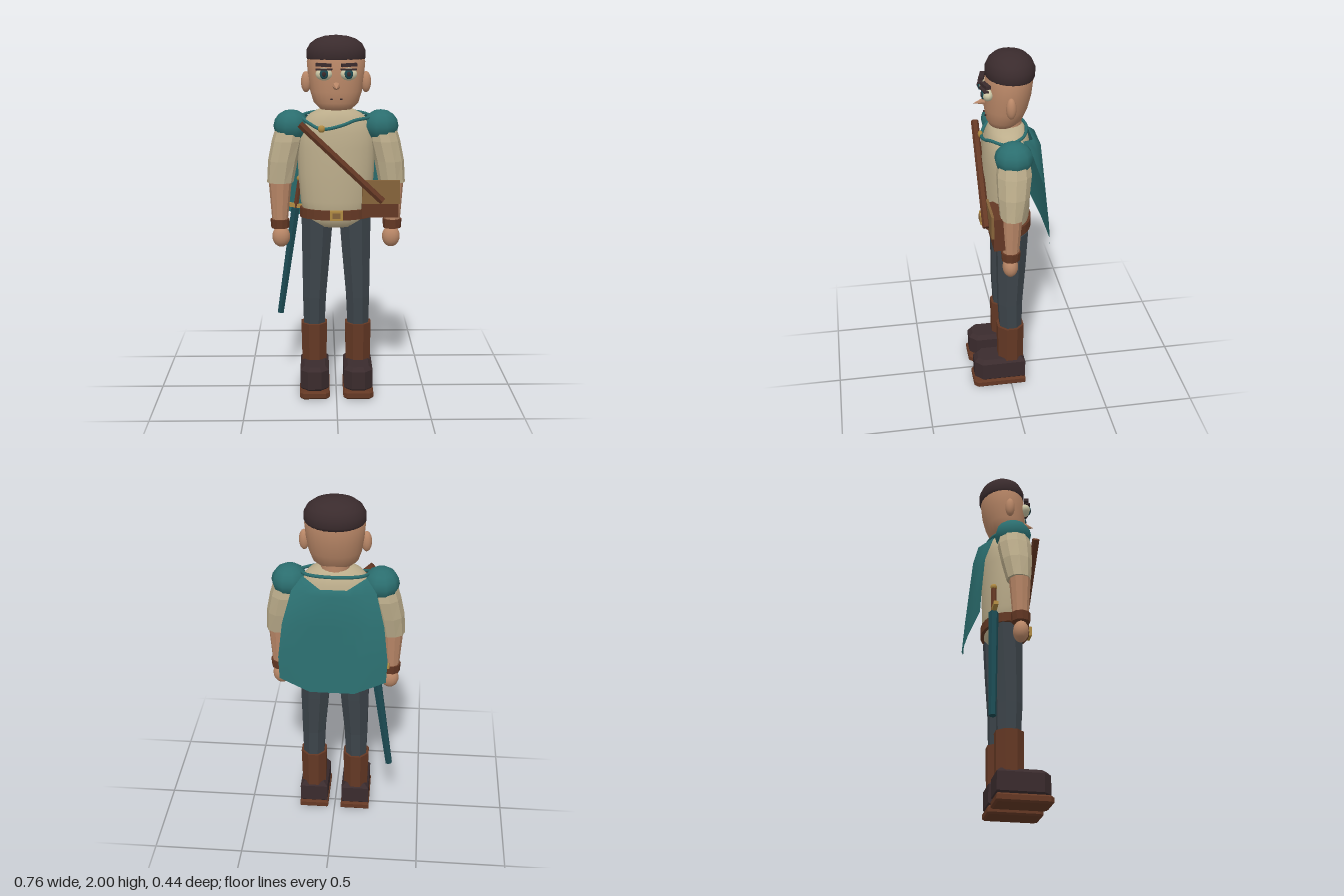
import * as THREE from 'three';

const paint = (name, color) => Object.assign(new THREE.MeshStandardMaterial({ color }), { name });
const M = {
  skin: paint('skin', 0xb98767),
  shirt: paint('linen', 0xbdae8c),
  teal: paint('teal cloth', 0x2b6e6f),
  dark: paint('dark brown', 0x3a2b2d),
  slate: paint('slate trousers', 0x3c444a),
  leather: paint('leather', 0x643824),
  gold: paint('brass', 0xb08a42),
  tan: paint('tan leather', 0x86633a),
  white: paint('eye white', 0xcfcaa8),
  sheath: paint('deep teal', 0x1b4a52),
};
const cloth = M.teal;
cloth.side = THREE.DoubleSide;

const flat = (g) => {
  const f = g.index ? g.toNonIndexed() : g;
  f.computeVertexNormals();
  return f;
};

// Skin a stack of elliptical rings [y, rx, rz, cx, cz], bottom to top
function loft(rings, seg, faceted = false) {
  const pos = [], idx = [], n = rings.length;
  for (const [y, rx, rz, cx = 0, cz = 0] of rings) {
    for (let j = 0; j < seg; j++) {
      const a = ((j + 0.5) / seg) * Math.PI * 2;
      pos.push(cx + rx * Math.sin(a), y, cz + rz * Math.cos(a));
    }
  }
  for (const [y, , , cx = 0, cz = 0] of [rings[0], rings[n - 1]]) pos.push(cx, y, cz);
  for (let j = 0; j < seg; j++) {
    const k = (j + 1) % seg, top = (n - 1) * seg;
    for (let i = 0; i < n - 1; i++) {
      const a = i * seg + j, b = i * seg + k;
      idx.push(a, b, b + seg, a, b + seg, a + seg);
    }
    idx.push(n * seg, k, j, n * seg + 1, top + j, top + k);
  }
  const g = new THREE.BufferGeometry();
  g.setAttribute('position', new THREE.Float32BufferAttribute(pos, 3));
  g.setIndex(idx);
  if (faceted) return flat(g);
  g.computeVertexNormals();
  return g;
}

// Chamfered slab in plan with bevelled edges, from y0 to y1
function slab(w, z0, z1, y0, y1, cut, bevel) {
  const x = w / 2 - bevel, a = -z1 + bevel, b = -z0 - bevel;
  const s = new THREE.Shape([
    [-x + cut, a], [x - cut, a], [x, a + cut], [x, b], [-x, b], [-x, a + cut],
  ].map((p) => new THREE.Vector2(...p)));
  const g = new THREE.ExtrudeGeometry(s, {
    depth: y1 - y0 - 2 * bevel, bevelSize: bevel, bevelThickness: bevel, bevelSegments: 1,
  });
  return g.rotateX(-Math.PI / 2).translate(0, y0 + bevel, 0);
}

export function createModel() {
  const model = new THREE.Group();
  const add = (name, geo, mat, x = 0, y = 0, z = 0) => {
    const m = new THREE.Mesh(geo, mat);
    m.name = name;
    m.position.set(x, y, z);
    model.add(m);
    return m;
  };
  const ball = (name, mat, x, y, z, rx, ry, rz, ws = 16, hs = 12) =>
    add(name, new THREE.SphereGeometry(1, ws, hs).scale(rx, ry, rz), mat, x, y, z);
  const box = (name, mat, x, y, z, w, h, d) => add(name, new THREE.BoxGeometry(w, h, d), mat, x, y, z);
  // Faceted rod between two points
  const rod = (name, mat, a, b, ra, rb, seg) => {
    const p = new THREE.Vector3(...a), q = new THREE.Vector3(...b), d = q.clone().sub(p);
    const m = add(name, flat(new THREE.CylinderGeometry(rb, ra, d.length(), seg)), mat);
    m.position.copy(p).add(q).multiplyScalar(0.5);
    m.quaternion.setFromUnitVectors(new THREE.Vector3(0, 1, 0), d.normalize());
    return m;
  };

  // Torso, neck and head
  add('shirt', loft([
    [0.945, 0.05, 0.04], [0.955, 0.12, 0.08], [1.0, 0.175, 0.115], [1.1, 0.198, 0.125], [1.25, 0.21, 0.13],
    [1.4, 0.213, 0.13], [1.48, 0.205, 0.125], [1.54, 0.18, 0.115], [1.58, 0.14, 0.1], [1.605, 0.09, 0.08],
  ], 24), M.shirt);
  add('neck', new THREE.CylinderGeometry(0.075, 0.08, 0.13, 20), M.skin, 0, 1.595, -0.005);
  add('head', loft([
    [1.595, 0.03, 0.03, 0, 0.025], [1.605, 0.085, 0.07, 0, 0.022], [1.64, 0.122, 0.097, 0, 0.012],
    [1.7, 0.141, 0.114, 0, 0.003], [1.78, 0.153, 0.124, 0, -0.008], [1.86, 0.16, 0.126, 0, -0.015],
    [1.92, 0.14, 0.11, 0, -0.02], [1.96, 0.05, 0.04, 0, -0.02],
  ], 24), M.skin);
  add('hair', loft([
    [1.855, 0.1, 0.08, 0, -0.02], [1.86, 0.15, 0.12, 0, -0.02], [1.88, 0.162, 0.13, 0, -0.02],
    [1.92, 0.161, 0.13, 0, -0.02], [1.955, 0.142, 0.114, 0, -0.02], [1.98, 0.108, 0.088, 0, -0.02],
    [1.995, 0.06, 0.05, 0, -0.02], [2.0, 0.01, 0.01, 0, -0.02],
  ], 28), M.dark);

  // Face
  const nose = new THREE.ConeGeometry(0.024, 0.07, 8).rotateX(Math.PI / 2 + 0.15);
  add('nose', flat(nose), M.skin, 0, 1.73, 0.14);
  for (const s of [-1, 1]) {
    ball('ear', M.skin, s * 0.163, 1.75, 0, 0.028, 0.057, 0.027);
    ball('eye', M.white, s * 0.066, 1.798, 0.108, 0.045, 0.034, 0.03);
    ball('iris', M.sheath, s * 0.066, 1.8, 0.132, 0.023, 0.027, 0.01);
    ball('pupil', M.dark, s * 0.066, 1.8, 0.139, 0.011, 0.014, 0.006);
    box('eyelid', M.dark, s * 0.066, 1.824, 0.126, 0.085, 0.008, 0.026).rotation.y = s * 0.2;
    box('eyebrow', M.dark, s * 0.068, 1.847, 0.118, 0.082, 0.018, 0.026).rotation.set(0, s * 0.25, s * 0.04);
    ball('mouthCorner', M.dark, s * 0.026, 1.665, 0.114, 0.007, 0.005, 0.006, 8, 6);
  }

  for (const s of [-1, 1]) {
    // Arm
    add('sleeve', loft([
      [1.2, 0.073, 0.066, s * 0.308, 0.018], [1.32, 0.082, 0.085, s * 0.293, 0.01],
      [1.43, 0.085, 0.094, s * 0.268, 0.003], [1.53, 0.075, 0.08, s * 0.248, 0],
    ], 10, true), M.shirt);
    add('shoulderCap', new THREE.SphereGeometry(1, 10, 8).scale(0.098, 0.09, 0.102), M.teal, s * 0.245, 1.51, 0);
    add('forearm', loft([
      [0.97, 0.042, 0.043, s * 0.312, 0.026], [1.22, 0.065, 0.06, s * 0.308, 0.024],
    ], 10, true), M.skin);
    add('cuff', loft([
      [0.945, 0.05, 0.05, s * 0.311, 0.027], [0.995, 0.053, 0.053, s * 0.312, 0.026],
    ], 10, true), M.leather);
    ball('hand', M.skin, s * 0.306, 0.895, 0.028, 0.05, 0.06, 0.042);

    // Leg
    add('upperLeg', loft([
      [0.545, 0.07, 0.073, s * 0.122, 0], [0.8, 0.084, 0.085, s * 0.112, -0.008], [1.0, 0.094, 0.092, s * 0.105, -0.014],
    ], 8, true), M.slate);
    add('lowerLeg', loft([
      [0.36, 0.063, 0.066, s * 0.124, -0.004], [0.545, 0.07, 0.073, s * 0.122, 0],
    ], 8, true), M.slate);
    add('bootShaft', loft([
      [0.165, 0.074, 0.078, s * 0.124, -0.002], [0.39, 0.079, 0.081, s * 0.124, -0.002],
    ], 8, true), M.leather);
    add('bootFoot', slab(0.16, -0.08, 0.212, 0.035, 0.18, 0.03, 0.022), M.dark, s * 0.122);
    add('bootSole', slab(0.168, -0.083, 0.22, 0, 0.046, 0.015, 0.01), M.leather, s * 0.122);
  }

  // Belt and buckle
  add('belt', loft([[1.005, 0.202, 0.134], [1.058, 0.202, 0.134]], 24, true), M.leather);
  box('buckle', M.gold, 0, 1.033, 0.138, 0.07, 0.055, 0.02);
  box('bucklePlate', M.tan, 0, 1.033, 0.149, 0.042, 0.03, 0.006);

  // Cross strap and satchel
  rod('strap', M.leather, [-0.195, 1.535, 0.142], [0.25, 1.115, 0.148], 0.021, 0.021, 6);
  box('satchel', M.leather, 0.24, 1.113, 0.085, 0.2, 0.19, 0.07);
  box('satchelFlap', M.tan, 0.243, 1.162, 0.127, 0.205, 0.13, 0.014);

  // Cape rows: half width, centre y, edge y, centre z, edge z
  const rows = [
    [0.17, 1.525, 1.565, -0.132, -0.06], [0.225, 1.505, 1.5, -0.17, -0.105],
    [0.272, 1.33, 1.33, -0.187, -0.162], [0.295, 1.12, 1.13, -0.208, -0.182], [0.29, 0.94, 1.0, -0.224, -0.19],
  ];
  const cols = [-1, -0.72, -0.42, 0, 0.42, 0.72, 1], pos = [], idx = [];
  rows.forEach(([w, yc, ye, zc, ze], i) => cols.forEach((u, j) => {
    const t = Math.max(0, (Math.abs(u) - 0.42) / 0.58);
    pos.push(u * w, yc + (ye - yc) * t, zc + (ze - zc) * t);
    if (i && j) {
      const d = i * cols.length + j, c = d - 1, b = d - cols.length, a = b - 1;
      idx.push(a, b, d, a, d, c);
    }
  }));
  const cape = new THREE.BufferGeometry();
  cape.setAttribute('position', new THREE.Float32BufferAttribute(pos, 3));
  cape.setIndex(idx);
  cape.computeVertexNormals();
  add('cape', cape, cloth);

  // Cape cord looping round the neck, with its clasp
  const cord = new THREE.CatmullRomCurve3([
    [-0.08, 1.505, 0.122], [0.03, 1.525, 0.121], [0.1, 1.55, 0.1], [0.185, 1.56, 0.03], [0.15, 1.575, -0.06],
    [0, 1.585, -0.105], [-0.15, 1.575, -0.06], [-0.185, 1.56, 0.03], [-0.14, 1.53, 0.093],
  ].map((p) => new THREE.Vector3(...p)), true);
  add('capeCord', new THREE.TubeGeometry(cord, 48, 0.009, 6, true), M.teal);
  ball('clasp', M.gold, -0.08, 1.507, 0.128, 0.02, 0.02, 0.014, 10, 8);

  // Sheathed sword on the right hip
  rod('sheath', M.sheath, [-0.32, 0.405, -0.125], [-0.228, 1.03, -0.105], 0.02, 0.027, 6);
  rod('swordGrip', M.leather, [-0.228, 1.03, -0.105], [-0.203, 1.19, -0.1], 0.015, 0.015, 6);
  box('swordGuard', M.gold, -0.235, 1.045, -0.105, 0.14, 0.022, 0.025).rotation.z = -0.15;
  ball('swordPommel', M.gold, -0.202, 1.2, -0.1, 0.019, 0.019, 0.019, 8, 6);

  return model;
}
